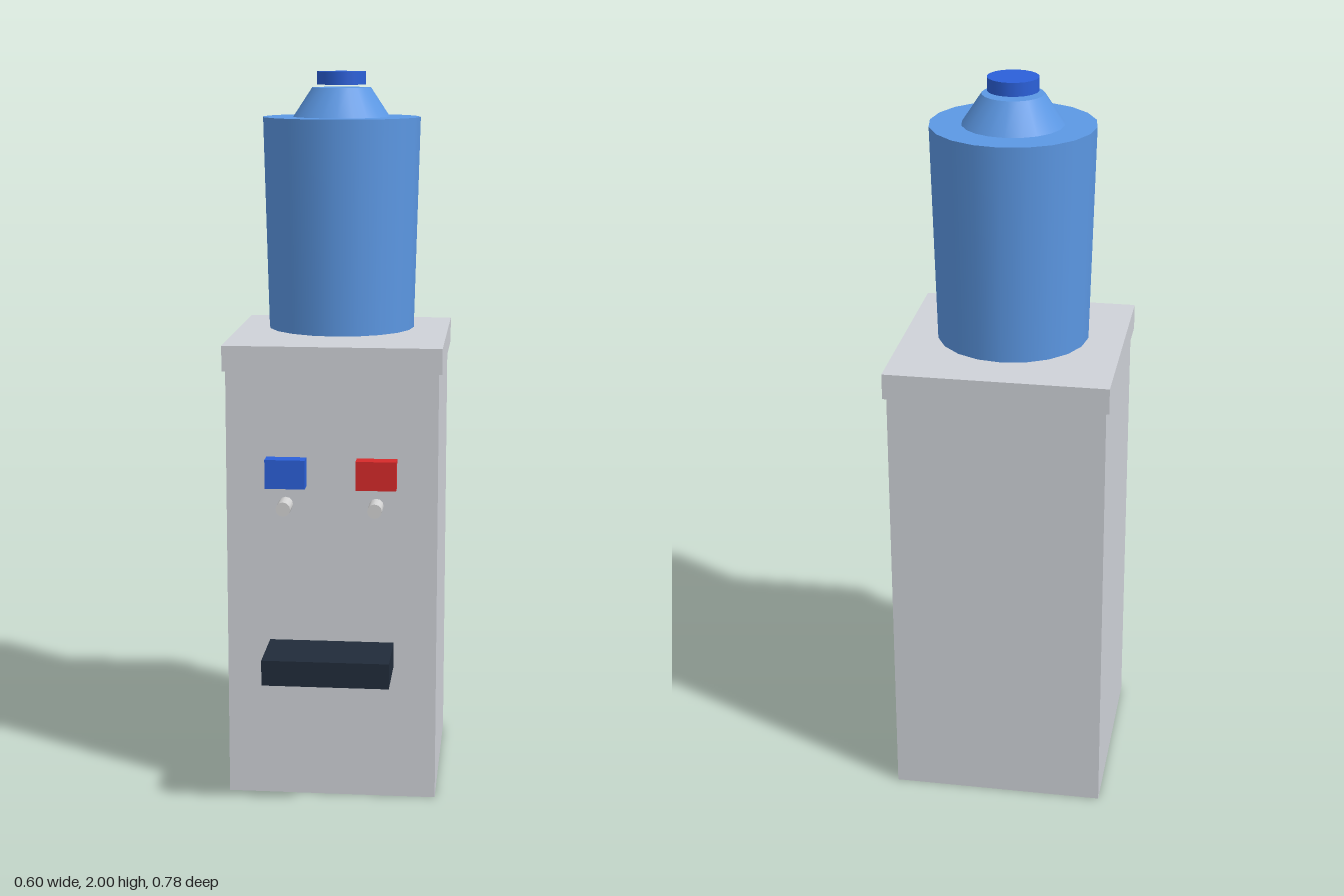
import * as THREE from 'three';

const mat = (name, color) => {
  const m = new THREE.MeshStandardMaterial({ color });
  m.name = name;
  return m;
};

export function createModel() {
  const model = new THREE.Group();
  model.name = 'waterDispenser';
  const bodyGrey = mat('bodyGrey', 0xcfd2d8);
  const bottleBlue = mat('bottleBlue', 0x5c98e4);
  const deepBlue = mat('deepBlue', 0x2b60d9);
  const hotRed = mat('hotRed', 0xd62a2a);
  const trayDark = mat('trayDark', 0x212c3a);
  const nozzleGrey = mat('nozzleGrey', 0xd4d4d4);

  const add = (name, geometry, material, x, y, z) => {
    const mesh = new THREE.Mesh(geometry, material);
    mesh.name = name;
    mesh.position.set(x, y, z);
    model.add(mesh);
    return mesh;
  };
  // Box given by its min and max on each axis
  const box = (name, material, [x0, x1], [y0, y1], [z0, z1]) =>
    add(name, new THREE.BoxGeometry(x1 - x0, y1 - y0, z1 - z0), material,
      (x0 + x1) / 2, (y0 + y1) / 2, (z0 + z1) / 2);
  // Upright round part between two heights, on the bottle axis
  const axisZ = -0.093;
  const round = (name, material, rTop, rBottom, y0, y1) =>
    add(name, new THREE.CylinderGeometry(rTop, rBottom, y1 - y0, 20), material,
      0, (y0 + y1) / 2, axisZ);

  // Cabinet and its overhanging lid
  box('cabinet', bodyGrey, [-0.29, 0.29], [0, 1.205], [-0.383, 0.2]);
  box('lid', bodyGrey, [-0.299, 0.299], [1.205, 1.275], [-0.392, 0.206]);

  // Water bottle, shoulder and cap
  round('bottle', bottleBlue, 0.22, 0.205, 1.29, 1.876);
  round('bottleShoulder', bottleBlue, 0.082, 0.135, 1.876, 1.956);
  round('bottleCap', deepBlue, 0.068, 0.068, 1.964, 2);

  // Cold tap on the model's right, hot tap on its left
  for (const [side, label, material] of [[-1, 'cold', deepBlue], [1, 'hot', hotRed]]) {
    const x = side * 0.124;
    box(label + 'Button', material, [x - 0.055, x + 0.055], [0.89, 0.97], [0.2, 0.244]);
    const nozzle = add(label + 'Nozzle', new THREE.CylinderGeometry(0.02, 0.02, 0.067, 12),
      nozzleGrey, x, 0.843, 0.252);
    nozzle.rotation.x = Math.PI / 2;
  }

  // Drip tray
  box('dripTray', trayDark, [-0.172, 0.172], [0.38, 0.45], [0.19, 0.39]);

  return model;
}
